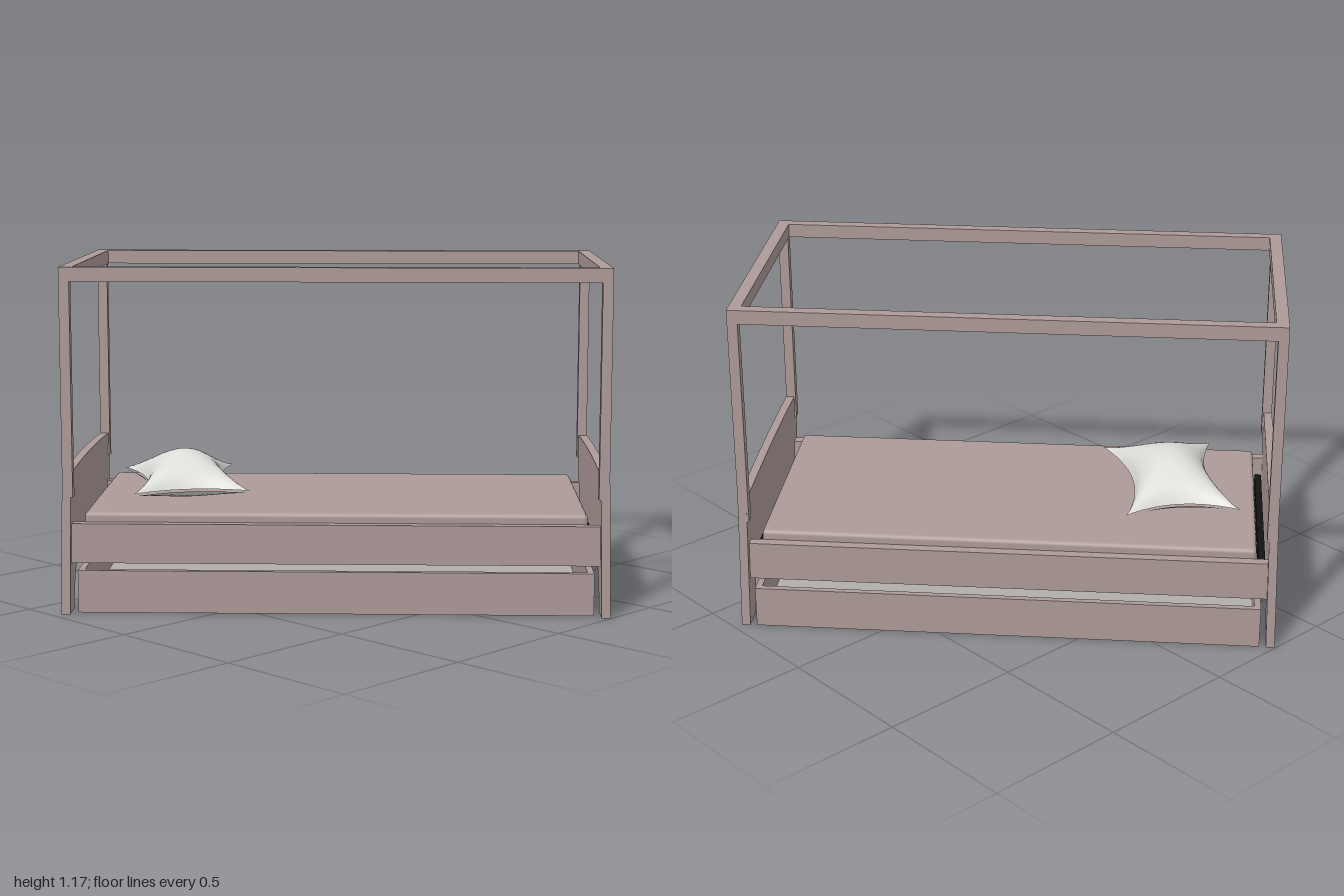
import * as THREE from 'three';
import { RoundedBoxGeometry } from 'three/addons/geometries/RoundedBoxGeometry.js';

const paint = (name, color) => {
  const m = new THREE.MeshStandardMaterial({ color });
  m.name = name;
  return m;
};

export function createModel() {
  const mauve = paint('mauve', 0xac9a98);
  const white = paint('pillowWhite', 0xdededb);
  const grey = paint('baseGrey', 0xb0aeaa);
  const dark = paint('darkSupport', 0x141313);

  // The bed is built along x (head at -x), then turned as a whole.
  const bed = new THREE.Group();
  bed.name = 'canopyBed';

  const add = (name, geometry, material, parent = bed) => {
    const mesh = new THREE.Mesh(geometry, material);
    mesh.name = name;
    parent.add(mesh);
    return mesh;
  };
  // Box given by its limits on each axis
  const box = (name, [x0, x1], [y0, y1], [z0, z1], material = mauve) => {
    const mesh = add(name, new THREE.BoxGeometry(x1 - x0, y1 - y0, z1 - z0), material);
    mesh.position.set((x0 + x1) / 2, (y0 + y1) / 2, (z0 + z1) / 2);
    return mesh;
  };
  const span = (side, a, b) => (side > 0 ? [a, b] : [-b, -a]);

  // End board: bowed top, arched cutout between two feet, flared base
  const outline = new THREE.Shape();
  outline.moveTo(-0.467, 0);
  outline.lineTo(-0.382, 0);
  outline.lineTo(-0.36, 0.095);
  outline.bezierCurveTo(-0.348, 0.14, -0.32, 0.155, -0.27, 0.155);
  outline.lineTo(0.27, 0.155);
  outline.bezierCurveTo(0.32, 0.155, 0.348, 0.14, 0.36, 0.095);
  outline.lineTo(0.382, 0);
  outline.lineTo(0.467, 0);
  outline.lineTo(0.46, 0.482);
  outline.quadraticCurveTo(0, 0.506, -0.46, 0.482);
  outline.closePath();
  const boardGeometry = new THREE.ExtrudeGeometry(outline, { depth: 0.03, bevelEnabled: false, curveSegments: 12 });
  boardGeometry.translate(0, 0, 0.885).rotateY(Math.PI / 2);
  const p = boardGeometry.attributes.position;
  for (let i = 0; i < p.count; i++) p.setX(i, p.getX(i) + 0.01 * (1 - p.getY(i) / 0.49));
  boardGeometry.computeVertexNormals();

  for (const end of [-1, 1]) {
    const board = add(end < 0 ? 'headboard' : 'footboard', boardGeometry, mauve);
    if (end < 0) board.rotation.y = Math.PI;
    box('endCanopyRail', span(end, 0.873, 0.915), [1.125, 1.173], [-0.46, 0.46]);
    box('endSupport', span(end, 0.862, 0.886), [0.19, 0.24], [-0.4, 0.4], dark);
    for (const side of [-1, 1]) {
      box('post', span(end, 0.88, 0.915), [0.4, 1.13], span(side, 0.425, 0.46));
    }
  }

  for (const side of [-1, 1]) {
    box('sideCanopyRail', [-0.873, 0.873], [1.125, 1.173], span(side, 0.418, 0.46));
    box('sideRail', [-0.9, 0.9], [0.172, 0.307], span(side, 0.405, 0.44));
  }

  // Mattress and its base
  const mattress = add('mattress', new RoundedBoxGeometry(1.7, 0.14, 0.81, 3, 0.015), mauve);
  mattress.position.set(0, 0.27, 0);
  box('mattressBase', [-0.85, 0.85], [0.185, 0.2], [-0.405, 0.405], dark);

  // Under-bed drawer: four walls round a recessed floor
  for (const end of [-1, 1]) box('drawerEnd', span(end, 0.85, 0.872), [0, 0.145], [-0.465, 0.435]);
  box('drawerFront', [-0.85, 0.85], [0, 0.145], [0.413, 0.435]);
  box('drawerBack', [-0.85, 0.85], [0, 0.145], [-0.465, -0.443]);
  box('drawerFloor', [-0.85, 0.85], [0.008, 0.02], [-0.443, 0.413], grey);

  // Pillow: two domed sheets sharing a pinched seam
  const pillow = new THREE.Group();
  pillow.name = 'pillow';
  const sheet = (name, up, height) => {
    const g = new THREE.PlaneGeometry(2, 2, 28, 28).rotateX(-up * Math.PI / 2);
    const v = g.attributes.position;
    for (let i = 0; i < v.count; i++) {
      const s = v.getX(i), t = v.getZ(i);
      const bulge = Math.max(0, (1 - s * s) * (1 - t * t)) ** 0.65;
      v.setXYZ(i, s * (0.2 - 0.065 * (1 - t * t)), up * (0.004 + height * bulge), t * (0.283 - 0.065 * (1 - s * s)));
    }
    g.computeVertexNormals();
    add(name, g, white, pillow);
  };
  sheet('pillowTop', 1, 0.106);
  sheet('pillowUnderside', -1, 0.044);
  pillow.position.set(-0.546, 0.388, 0.032);
  pillow.rotation.y = 0.19;
  bed.add(pillow);

  bed.rotation.y = -0.827;
  const model = new THREE.Group();
  model.add(bed);
  return model;
}
